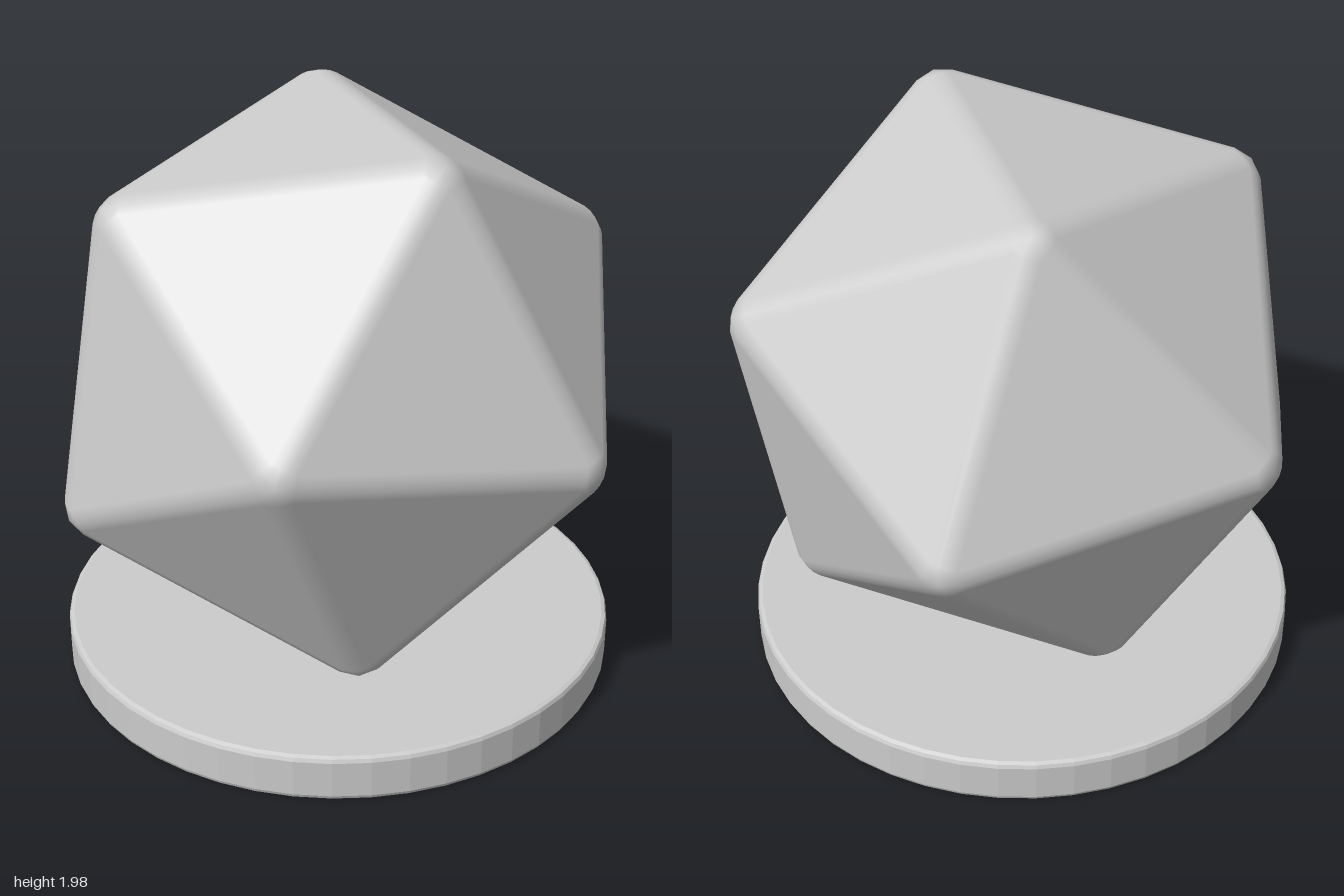
import * as THREE from 'three';
import { ConvexGeometry } from 'three/addons/geometries/ConvexGeometry.js';

const CORE = 0.92;   // circumradius of the sharp core
const ROUND = 0.12;  // radius of the rounded edges
const STEPS = 3;     // segments across each rounded edge

// Twelve unit corners: three golden rectangles on a tilted set of axes
function icosahedronCorners() {
  const w = new THREE.Vector3(-0.264, 0.02, 0.964).normalize();
  const u = new THREE.Vector3(0.161, 0.986, 0.024);
  const v = u.clone().cross(w).normalize();
  u.crossVectors(w, v);
  const corners = [];
  for (const [p, q] of [[u, w], [w, v], [v, u]])
    for (const s of [1, -1])
      for (const t of [1, -1])
        corners.push(p.clone().multiplyScalar(0.85065 * s).addScaledVector(q, 0.52573 * t));
  return corners;
}

// Icosahedron with rolled edges: each corner grows a small patch of a sphere
function roundedIcosahedron() {
  const dirs = icosahedronCorners();
  const near = (a, b) => a.dot(b) > 0.4;
  const normals = [];
  dirs.forEach((a, i) => dirs.forEach((b, j) => dirs.forEach((c, k) => {
    if (i < j && j < k && near(a, b) && near(b, c) && near(a, c))
      normals.push(a.clone().add(b).add(c).normalize());
  })));

  const points = [];
  for (const d of dirs) {
    const add = n => points.push(d.clone().multiplyScalar(CORE).addScaledVector(n, ROUND));
    const around = normals.filter(n => n.dot(d) > 0.7);
    add(d);
    around.forEach((a, i) => {
      add(a);
      for (const b of around.slice(i + 1)) {
        const angle = a.angleTo(b);
        if (angle > 0.8) continue; // only faces that share an edge
        for (let k = 1; k < STEPS; k++) {
          const t = k / STEPS;
          add(a.clone().multiplyScalar(Math.sin((1 - t) * angle))
            .addScaledVector(b, Math.sin(t * angle)).normalize());
        }
      }
    });
  }

  // Smooth normals point away from the closest core corner
  const geometry = new ConvexGeometry(points);
  const pos = geometry.attributes.position;
  const p = new THREE.Vector3();
  for (let i = 0; i < pos.count; i++) {
    p.fromBufferAttribute(pos, i);
    const d = dirs.reduce((best, c) => (c.dot(p) > best.dot(p) ? c : best));
    p.addScaledVector(d, -CORE).normalize();
    geometry.attributes.normal.setXYZ(i, p.x, p.y, p.z);
  }
  return geometry;
}

export function createModel() {
  const model = new THREE.Group();
  model.name = 'icosahedronOnBase';

  const die = new THREE.Mesh(roundedIcosahedron(), new THREE.MeshStandardMaterial({ color: 0xcccccc }));
  die.name = 'icosahedron';
  die.position.y = 1.075;
  model.add(die);

  // Round base with softened rims
  const R = 0.962, H = 0.165, b = 0.018;
  const profile = [
    [0, 0], [R - b, 0], [R - b * 0.3, b * 0.3], [R, b],
    [R, H - b], [R - b * 0.3, H - b * 0.3], [R - b, H], [0, H],
  ].map(([x, y]) => new THREE.Vector2(x, y));
  const base = new THREE.Mesh(
    new THREE.LatheGeometry(profile, 48),
    new THREE.MeshStandardMaterial({ color: 0xcccccc, flatShading: true })
  );
  base.name = 'base';
  model.add(base);

  return model;
}
